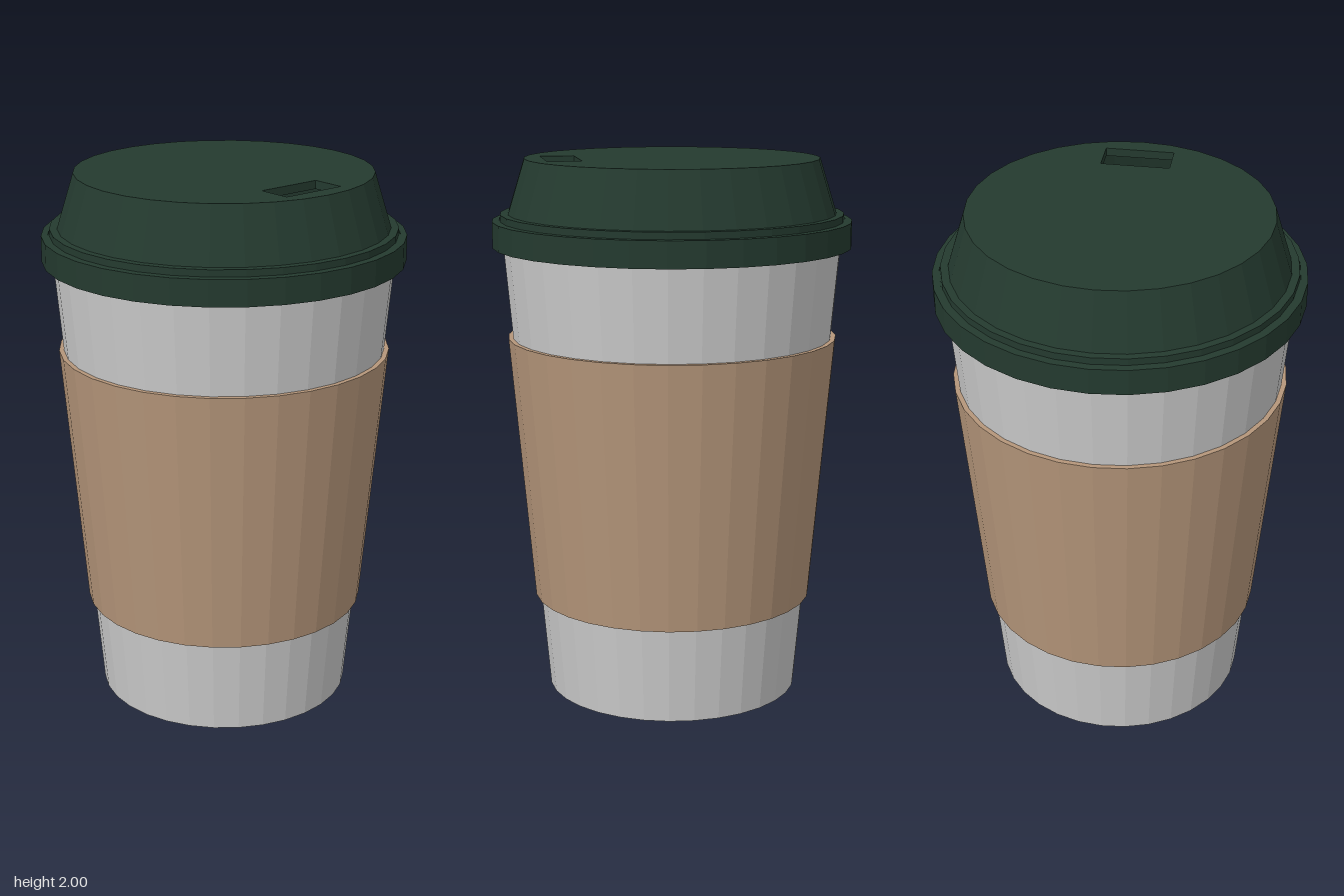
import * as THREE from 'three';

const SIDES = 32;

function material(color) {
  return new THREE.MeshStandardMaterial({ color, flatShading: true });
}

// Revolve a profile of [radius, height] pairs; outer side runs upward.
function lathe(name, profile, mat) {
  const points = profile.map(([r, y]) => new THREE.Vector2(r, y));
  const mesh = new THREE.Mesh(new THREE.LatheGeometry(points, SIDES), mat);
  mesh.name = name;
  return mesh;
}

// Flat lid top with a rectangular sip opening towards the front.
function lidTop(radius, thickness, mat) {
  const rim = [];
  for (let i = 0; i < SIDES; i++) {
    const a = (i / SIDES) * Math.PI * 2;
    rim.push(new THREE.Vector2(Math.cos(a) * radius, Math.sin(a) * radius));
  }
  const shape = new THREE.Shape(rim);
  const [w, near, far] = [0.125, -0.47, -0.345];
  shape.holes.push(new THREE.Path([
    new THREE.Vector2(-w, near), new THREE.Vector2(-w, far),
    new THREE.Vector2(w, far), new THREE.Vector2(w, near),
  ]));
  const geometry = new THREE.ExtrudeGeometry(shape, { depth: thickness, bevelEnabled: false });
  geometry.rotateX(-Math.PI / 2);
  const mesh = new THREE.Mesh(geometry, mat);
  mesh.position.y = 2 - thickness;
  mesh.name = 'lidTop';
  return mesh;
}

export function createModel() {
  const model = new THREE.Group();
  model.name = 'takeawayCup';
  const paper = material(0xcccccc);
  const card = material(0xb5967a);
  const plastic = material(0x243a2f);

  // Hollow cup with a recessed base
  model.add(lathe('cup', [
    [0, 0.06], [0.468, 0.06], [0.464, 0], [0.47, 0],
    [0.627, 1.76], [0.607, 1.76], [0.45, 0.08], [0, 0.08],
  ], paper));

  // Heat sleeve around the cup
  model.add(lathe('sleeve', [
    [0.5, 0.36], [0.522, 0.36], [0.608, 1.345], [0.587, 1.345], [0.5, 0.36],
  ], card));

  // Lid: stepped rim, tapering wall and top plate
  const lid = new THREE.Group();
  lid.name = 'lid';
  lid.add(lathe('lidWall', [
    [0.628, 1.68], [0.66, 1.68], [0.66, 1.775], [0.63, 1.775], [0.63, 1.8],
    [0.602, 1.8], [0.54, 2], [0.52, 1.97], [0.58, 1.78], [0.635, 1.78], [0.628, 1.68],
  ], plastic));
  lid.add(lidTop(0.54, 0.03, plastic));
  model.add(lid);

  return model;
}
